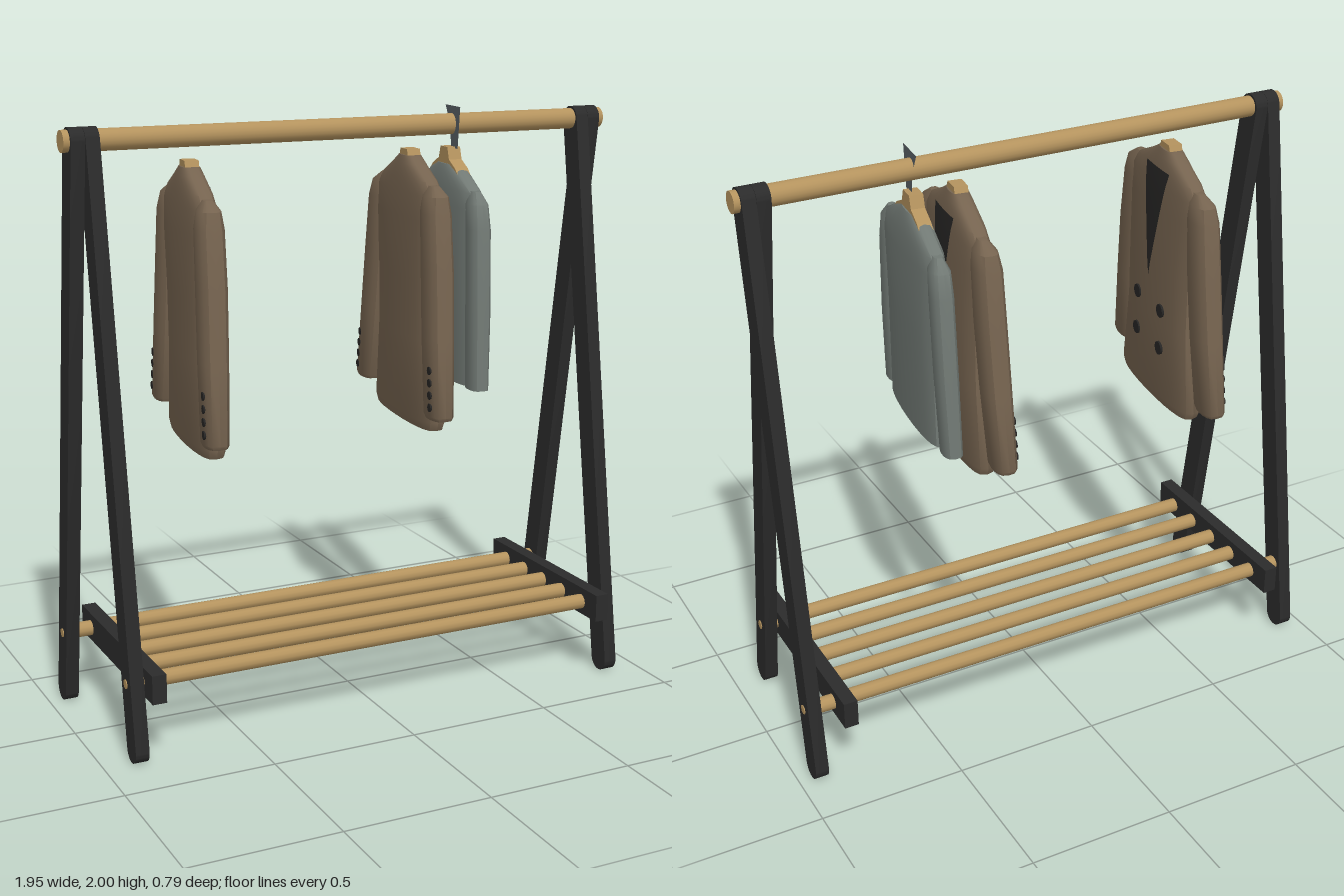
import * as THREE from 'three';
import { toCreasedNormals } from 'three/addons/utils/BufferGeometryUtils.js';

const mat = (name, color, side = THREE.FrontSide) => {
  const m = new THREE.MeshStandardMaterial({ color, side });
  m.name = name;
  return m;
};
const black = mat('black frame', 0x2b2b2b);
const wood = mat('wood', 0xb4935e);
const brown = mat('brown cloth', 0x75634f);
const grey = mat('grey cloth', 0x717974);
const dark = mat('dark trim', 0x262524, THREE.DoubleSide);
const metal = mat('hook metal', 0x5a6266, THREE.DoubleSide);

const POW = 0.6; // flattens the front and back of a garment section

function add(parent, name, geometry, material, x = 0, y = 0, z = 0) {
  const mesh = new THREE.Mesh(geometry, material);
  mesh.name = name;
  mesh.position.set(x, y, z);
  parent.add(mesh);
  return mesh;
}

// Closed skin over horizontal sections [y, centreX, centreZ, halfX, halfZ], top to bottom.
// Group 0 is the cloth, group 1 the bottom cap.
function loft(rings, n = 24) {
  const pos = [], idx = [];
  for (const [y, cx, cz, rx, rz] of rings) {
    for (let j = 0; j < n; j++) {
      const t = (j / n) * Math.PI * 2, c = Math.cos(t);
      pos.push(cx + rx * Math.sign(c) * Math.pow(Math.abs(c), POW), y, cz + rz * Math.sin(t));
    }
  }
  const last = rings.length - 1, top = rings.length * n;
  for (const r of [rings[0], rings[last]]) pos.push(r[1], r[0], r[2]);
  for (let i = 0; i < last; i++) {
    for (let j = 0; j < n; j++) {
      const a = i * n + j, b = i * n + (j + 1) % n;
      idx.push(a, b, a + n, b, b + n, a + n);
    }
  }
  for (let j = 0; j < n; j++) idx.push(top, (j + 1) % n, j);
  const skin = idx.length;
  for (let j = 0; j < n; j++) idx.push(top + 1, last * n + j, last * n + (j + 1) % n);
  const g = new THREE.BufferGeometry();
  g.setAttribute('position', new THREE.Float32BufferAttribute(pos, 3));
  g.setIndex(idx);
  g.addGroup(0, skin, 0);
  g.addGroup(skin, idx.length - skin, 1);
  return toCreasedNormals(g, 0.6);
}

// Front surface of a loft at height y and offset z
function frontX(rings, y, z) {
  let i = 0;
  while (i < rings.length - 2 && rings[i + 1][0] > y) i++;
  const a = rings[i], b = rings[i + 1], k = (a[0] - y) / (a[0] - b[0]);
  const mix = (c) => a[c] + (b[c] - a[c]) * k;
  const s = Math.min(1, Math.abs(z / mix(4)));
  return mix(1) + mix(3) * Math.pow(1 - s * s, POW / 2);
}

// Dark V-shaped opening that follows the chest
function chestV(rings, top, bottom, halfWidth) {
  const g = new THREE.PlaneGeometry(1, 1, 6, 10), p = g.attributes.position;
  for (let i = 0; i < p.count; i++) {
    const k = p.getY(i) + 0.5, y = bottom + (top - bottom) * k;
    const z = -p.getX(i) * 2 * halfWidth * k;
    p.setXYZ(i, frontX(rings, y, z) + 0.005, y, z);
  }
  g.computeVertexNormals();
  return g;
}

const button = (r) => new THREE.CylinderGeometry(r, r, 0.009, 10).rotateZ(Math.PI / 2);

function hanger(parent) {
  const s = new THREE.Shape();
  [[-0.03, 1.865], [-0.045, 1.825], [-0.1, 1.8], [-0.16, 1.75], [0.16, 1.75], [0.1, 1.8], [0.045, 1.825], [0.03, 1.865]]
    .forEach(([x, y], i) => (i ? s.lineTo(x, y) : s.moveTo(x, y)));
  const g = new THREE.ExtrudeGeometry(s, { depth: 0.046, bevelEnabled: false });
  add(parent, 'hanger', g.translate(0, 0, -0.023).rotateY(Math.PI / 2), wood);
}

function garment(name, x, cloth, hem, body, sleeve) {
  const group = new THREE.Group();
  group.name = name;
  group.position.x = x;
  group.rotation.y = -0.12;
  add(group, 'body', loft(body), [cloth, hem]);
  for (const s of [1, -1]) {
    const rings = sleeve.map(([y, cx, cz, rx, rz]) => [y, cx, cz * s, rx, rz]);
    add(group, s > 0 ? 'frontSleeve' : 'backSleeve', loft(rings, 16), [cloth, hem]);
  }
  hanger(group);
  return group;
}

function brownJacket(x) {
  const body = [
    [1.845, 0, 0, 0.03, 0.055], [1.82, 0, 0, 0.038, 0.1], [1.775, 0, 0, 0.045, 0.2],
    [1.73, 0, 0, 0.05, 0.25], [1.65, 0, 0, 0.055, 0.25], [1.45, 0.005, 0, 0.058, 0.235],
    [1.25, 0.005, 0, 0.056, 0.235], [0.98, 0.005, 0, 0.056, 0.268], [0.952, 0.005, 0, 0.05, 0.255],
  ];
  const sleeve = [
    [1.765, 0, 0.215, 0.015, 0.03], [1.735, -0.002, 0.235, 0.036, 0.06], [1.68, -0.004, 0.245, 0.045, 0.066],
    [1.5, -0.006, 0.268, 0.047, 0.07], [1.28, -0.012, 0.295, 0.046, 0.07], [1.03, -0.02, 0.33, 0.042, 0.066],
    [1.018, -0.02, 0.33, 0.037, 0.06],
  ];
  const g = garment('brownJacket', x, brown, brown, body, sleeve);
  add(g, 'chestOpening', chestV(body, 1.785, 1.4, 0.085), dark);
  for (const z of [-0.09, 0.09]) {
    for (const y of [1.3, 1.16]) add(g, 'frontButton', button(0.024), dark, frontX(body, y, z) + 0.002, y, z);
  }
  // Cuff buttons on the rear of each sleeve
  for (const s of [1, -1]) {
    for (let i = 0; i < 4; i++) add(g, 'cuffButton', button(0.014), dark, -0.058 + i * 0.001, 1.06 + i * 0.04, s * (0.35 - i * 0.005));
  }
  return g;
}

function greyJacket(x) {
  const body = [
    [1.81, 0, 0, 0.028, 0.07], [1.79, 0, 0, 0.036, 0.12], [1.735, 0, 0, 0.044, 0.23],
    [1.68, 0, 0, 0.05, 0.245], [1.45, 0, 0, 0.05, 0.225], [1.085, 0, 0, 0.045, 0.235],
  ];
  const sleeve = [
    [1.74, 0, 0.215, 0.015, 0.03], [1.7, 0, 0.235, 0.033, 0.047], [1.62, 0, 0.25, 0.037, 0.048],
    [1.35, -0.004, 0.268, 0.037, 0.05], [1.09, -0.01, 0.283, 0.033, 0.05],
  ];
  const g = garment('greyJacket', x, grey, dark, body, sleeve);
  // Flat hook over the rail
  const s = new THREE.Shape();
  [[-0.07, 2], [-0.052, 1.86], [0.005, 1.86], [0.015, 1.93], [0.058, 2]]
    .forEach(([a, b], i) => (i ? s.lineTo(a, b) : s.moveTo(a, b)));
  add(g, 'hook', new THREE.ShapeGeometry(s).rotateY(Math.PI / 2), metal, 0.005);
  return g;
}

// Leg with round ends, standing in the yz plane
function legGeometry(length, r, depth) {
  const s = new THREE.Shape();
  s.absarc(0, length / 2, r, 0, Math.PI);
  s.absarc(0, -length / 2, r, Math.PI, Math.PI * 2);
  const g = new THREE.ExtrudeGeometry(s, { depth, bevelEnabled: false, curveSegments: 10 });
  return toCreasedNormals(g.translate(0, 0, -depth / 2).rotateY(Math.PI / 2), 0.6);
}

const rod = (r, length, sides) => new THREE.CylinderGeometry(r, r, length, sides).rotateZ(Math.PI / 2);

export function createModel() {
  const model = new THREE.Group();
  model.name = 'clothesRack';

  add(model, 'topRail', rod(0.035, 1.945, 20), wood, 0, 1.94, 0);

  // Crossed legs: the front one sits inside the back one
  const rise = 1.898, spread = 0.292, r = 0.042;
  const leg = legGeometry(Math.hypot(rise, spread), r, 0.046);
  for (const side of [1, -1]) {
    for (const s of [1, -1]) {
      const x = side * (s > 0 ? 0.882 : 0.929);
      const m = add(model, s > 0 ? 'frontLeg' : 'backLeg', leg, black, x, r + rise / 2, s * spread / 2);
      m.rotation.x = -s * Math.atan2(spread, rise);
      add(model, 'peg', rod(0.016, 0.052, 8), wood, x, 0.255, s * 0.258);
    }
    add(model, 'shelfSupport', new THREE.BoxGeometry(0.048, 0.096, 0.71), black, side * 0.826, 0.257, -0.004);
  }

  // Shelf rods, the outer pair reaching the legs
  for (let i = -2; i <= 2; i++) {
    const length = i === -2 ? 1.81 : i === 2 ? 1.72 : 1.62;
    add(model, 'shelfRod', rod(0.026, length, 12), wood, 0, 0.255, i * 0.129 - 0.004);
  }

  model.add(brownJacket(-0.555), brownJacket(0.232), greyJacket(0.385));
  return model;
}
